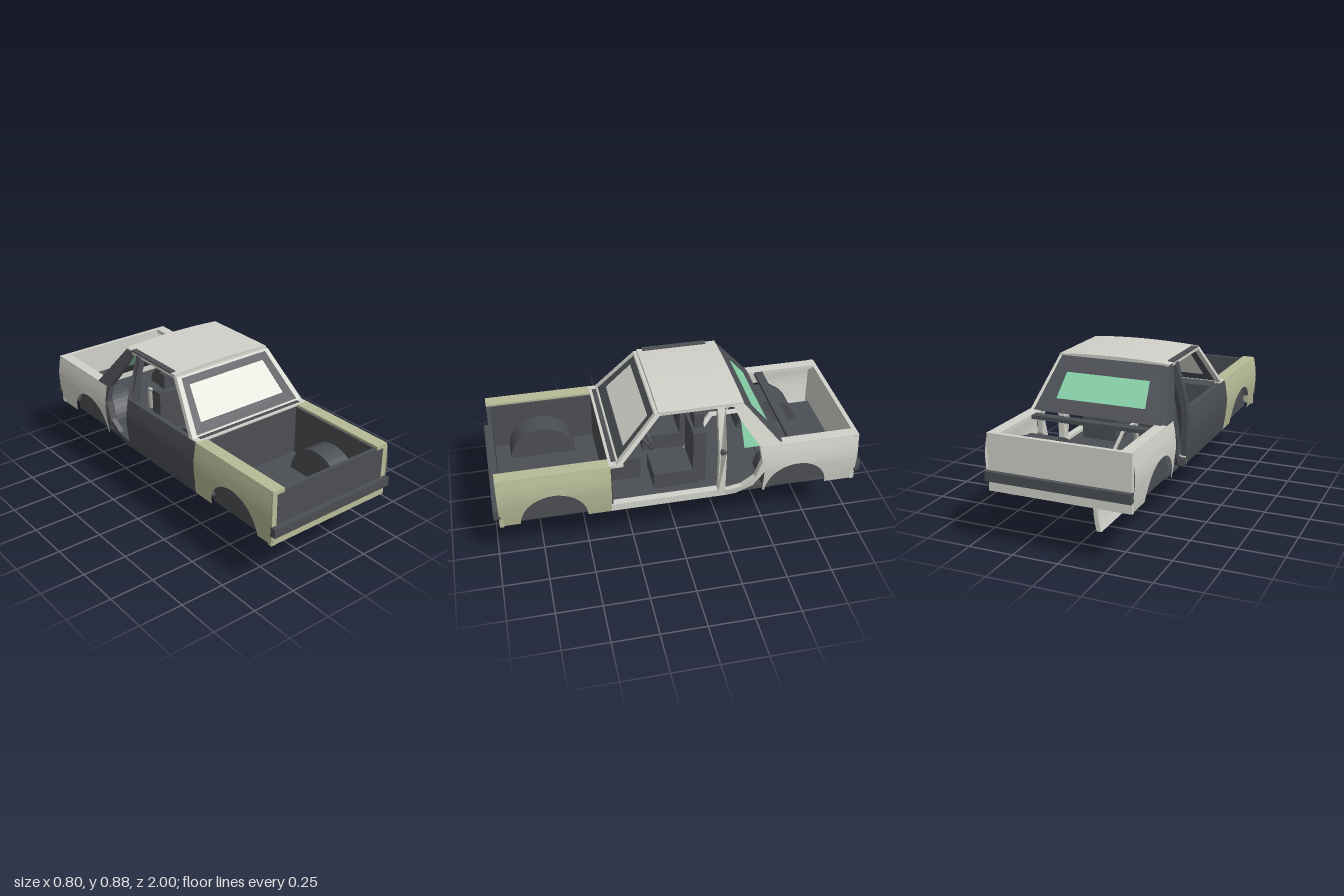
import * as THREE from 'three';

const paint = (name, color) => new THREE.MeshStandardMaterial({ name, color, side: THREE.DoubleSide });
const LIGHT = paint('light grey paint', 0xd2d2cb);
const OLIVE = paint('olive paint', 0xb7bb97);
const DARK = paint('dark grey trim', 0x4b4e53);
const GREEN = paint('green glass', 0x88d2aa);
const GLASS = paint('pale glass', 0xe0e0d8);

// Half width of the body at a given height
const PROFILE = [[0.31, 0.375], [0.37, 0.386], [0.48, 0.398], [0.55, 0.392], [0.61, 0.38], [0.86, 0.31]];
function halfWidth(y) {
  for (let i = 1; i < PROFILE.length; i++) {
    const [y0, x0] = PROFILE[i - 1], [y1, x1] = PROFILE[i];
    if (y <= y1) return x0 + (x1 - x0) * Math.max(0, (y - y0) / (y1 - y0));
  }
  return 0.31;
}

export function createModel() {
  const model = new THREE.Group();
  const add = (name, geo, mat) => {
    const m = new THREE.Mesh(geo, mat);
    m.name = name;
    model.add(m);
    return m;
  };
  // Box from its minimum and maximum corners
  const box = (name, mat, x0, x1, y0, y1, z0, z1) => {
    const g = new THREE.BoxGeometry(x1 - x0, y1 - y0, z1 - z0);
    g.translate((x0 + x1) / 2, (y0 + y1) / 2, (z0 + z1) / 2);
    return add(name, g, mat);
  };
  // Outline in (z, y), extruded across x
  const sideGeo = (pts, x0, x1) => {
    const shape = new THREE.Shape(pts.map(p => new THREE.Vector2(p[0], p[1])));
    const g = new THREE.ExtrudeGeometry(shape, { depth: x1 - x0, bevelEnabled: false });
    return g.rotateY(-Math.PI / 2).translate(x1, 0, 0);
  };
  // Side outline that follows the lean of the body
  const leaning = (name, mat, pts, s, thick = 0.03) => {
    const g = sideGeo(pts, -thick / 2, thick / 2);
    const p = g.attributes.position;
    for (let i = 0; i < p.count; i++) p.setX(i, p.getX(i) + s * (halfWidth(p.getY(i)) - thick / 2));
    g.computeVertexNormals();
    return add(name, g, mat);
  };
  // Grid sheet, f(i, j) gives a point
  const sheet = (name, mat, nu, nv, f) => {
    const pos = [], idx = [];
    for (let i = 0; i <= nu; i++) for (let j = 0; j <= nv; j++) pos.push(...f(i, j));
    for (let i = 0; i < nu; i++) for (let j = 0; j < nv; j++) {
      const a = i * (nv + 1) + j, b = a + nv + 1;
      idx.push(a, b, a + 1, b, b + 1, a + 1);
    }
    const g = new THREE.BufferGeometry();
    g.setAttribute('position', new THREE.Float32BufferAttribute(pos, 3));
    g.setIndex(idx);
    g.computeVertexNormals();
    return add(name, g, mat);
  };
  // Bulged outer panel with an optional wheel arch
  const bodySide = (name, mat, s, z0, z1, arch) => {
    const cols = [[z0, 0.31]];
    if (arch) for (let k = 0; k <= 20; k++) {
      const a = Math.PI * k / 20;
      cols.push([arch.z - arch.r * Math.cos(a), 0.31 + arch.r * Math.sin(a)]);
    }
    cols.push([z1, 0.31]);
    return sheet(name, mat, cols.length - 1, 8, (i, j) => {
      const y = cols[i][1] + (0.612 - cols[i][1]) * j / 8;
      return [s * halfWidth(y), y, cols[i][0]];
    });
  };
  // Sloping frame or pane: trapezoids given as [y0, halfX0, y1, halfX1]
  const slanted = (name, mat, outer, hole, zAt, depth) => {
    const quad = ([y0, a, y1, b]) => [[-a, y0], [a, y0], [b, y1], [-b, y1]].map(p => new THREE.Vector2(...p));
    const shape = new THREE.Shape(quad(outer));
    if (hole) shape.holes.push(new THREE.Path(quad(hole)));
    const g = new THREE.ExtrudeGeometry(shape, { depth, bevelEnabled: false });
    const p = g.attributes.position;
    for (let i = 0; i < p.count; i++) p.setZ(i, p.getZ(i) - depth / 2 + zAt(p.getY(i)));
    g.computeVertexNormals();
    return add(name, g, mat);
  };

  const frontArch = { z: 0.685, r: 0.178 }, rearArch = { z: -0.635, r: 0.172 };

  // Fenders, quarter panels and wheel housings
  for (const s of [1, -1]) {
    const tag = s > 0 ? 'left' : 'right';
    const span = (a, b) => s > 0 ? [a, b] : [-b, -a];
    bodySide(tag + 'FrontFender', OLIVE, s, 0.38, 0.972, frontArch);
    bodySide(tag + 'RearQuarter', LIGHT, s, -0.972, -0.45, rearArch);
    box(tag + 'FenderTop', OLIVE, ...span(0.31, 0.38), 0.59, 0.612, 0.38, 0.972);
    box(tag + 'FenderNose', OLIVE, ...span(0.355, 0.384), 0.31, 0.6, 0.95, 0.973);
    box(tag + 'QuarterTop', LIGHT, ...span(0.32, 0.38), 0.59, 0.612, -0.972, -0.54);
    box(tag + 'BayWall', DARK, ...span(0.3, 0.31), 0.315, 0.6, 0.385, 0.96);
    box(tag + 'Sill', LIGHT, ...span(0.335, 0.375), 0.31, 0.352, -0.25, 0.38);
    for (const [arch, end] of [[frontArch, 'Front'], [rearArch, 'Rear']]) {
      const pts = [];
      for (let k = 0; k <= 20; k++) {
        const a = Math.PI * k / 20;
        pts.push([arch.z + 0.184 * Math.cos(a), 0.315 + 0.184 * Math.sin(a)]);
      }
      add(tag + end + 'WheelHousing', sideGeo(pts, ...span(0.17, 0.355)), DARK);
    }
    // Rear pillar sweeping down around the rear door opening
    leaning(tag + 'RearPillar', s > 0 ? LIGHT : DARK, [
      [-0.28, 0.86], [-0.32, 0.77], [-0.42, 0.62], [-0.435, 0.52], [-0.4, 0.42], [-0.33, 0.365], [-0.24, 0.345],
      [-0.24, 0.31], [-0.3, 0.315], [-0.39, 0.36], [-0.45, 0.45], [-0.47, 0.61], [-0.54, 0.61], [-0.335, 0.86]], s);
    leaning(tag + 'CentrePillar', s > 0 ? LIGHT : DARK,
      [[-0.2, 0.33], [-0.2, 0.61], [-0.2, 0.855], [-0.24, 0.855], [-0.24, 0.61], [-0.24, 0.33]], s, 0.035);
    box(tag + 'DoorLatch', DARK, ...span(0.35, 0.378), 0.59, 0.612, -0.245, -0.21);
  }
  leaning('quarterGlass', GREEN, [[-0.32, 0.77], [-0.335, 0.62], [-0.42, 0.62]], 1, 0.008);

  // Floor, firewall and end panels
  box('frontFloor', DARK, -0.335, 0.335, 0.312, 0.325, 0.38, 0.96);
  box('cabinFloor', DARK, -0.36, 0.36, 0.312, 0.335, -0.5, 0.38);
  box('trunkFloor', DARK, -0.335, 0.335, 0.325, 0.345, -0.96, -0.5);
  box('firewall', DARK, -0.37, 0.37, 0.315, 0.605, 0.37, 0.385);
  box('frontPanel', DARK, -0.356, 0.356, 0.36, 0.6, 0.95, 0.971);
  box('frontValance', OLIVE, -0.375, 0.375, 0.312, 0.37, 0.955, 0.974);
  box('rearPanel', LIGHT, -0.382, 0.382, 0.312, 0.612, -0.974, -0.95);
  box('frontBumper', DARK, -0.388, 0.388, 0.37, 0.42, 0.965, 1);
  box('rearBumper', DARK, -0.388, 0.388, 0.37, 0.42, -1, -0.965);
  box('parcelShelf', DARK, -0.35, 0.345, 0.59, 0.61, -0.64, -0.592);
  box('exhaustTip', DARK, 0.243, 0.277, 0.302, 0.318, -0.96, -0.85);
  // Underbody members
  for (const x of [-0.15, 0.15]) box('floorRib', DARK, x - 0.01, x + 0.01, 0.306, 0.313, 0.5, 0.85);
  box('rearCrossMember', DARK, -0.3, 0.3, 0.312, 0.34, -0.56, -0.5);
  box('fuelTank', DARK, -0.1, 0.12, 0.312, 0.34, -0.92, -0.72);

  // Arched roof
  const roof = new THREE.Shape();
  roof.moveTo(-0.31, 0.846);
  roof.quadraticCurveTo(0, 0.874, 0.31, 0.846);
  roof.lineTo(0.31, 0.867);
  roof.quadraticCurveTo(0, 0.891, -0.31, 0.867);
  add('roof', new THREE.ExtrudeGeometry(roof, { depth: 0.45, bevelEnabled: false, curveSegments: 16 }).translate(0, 0, -0.338), LIGHT);
  box('roofEdgeTrim', DARK, -0.316, -0.282, 0.866, 0.873, -0.28, 0.08);

  // Windscreen and rear window
  const zFront = y => 0.335 - (y - 0.61) * 0.9;
  const zRear = y => -0.545 + (y - 0.61) * 0.83;
  slanted('windscreenPillars', LIGHT, [0.605, 0.377, 0.857, 0.31], [0.62, 0.342, 0.85, 0.284], zFront, 0.03);
  slanted('windscreenFrame', DARK, [0.618, 0.344, 0.853, 0.286], [0.66, 0.283, 0.815, 0.25], zFront, 0.016);
  slanted('windscreenGlass', GLASS, [0.66, 0.283, 0.815, 0.25], null, zFront, 0.008);
  slanted('rearWindowFrame', DARK, [0.61, 0.355, 0.86, 0.29], [0.67, 0.25, 0.79, 0.235], zRear, 0.018);
  slanted('rearGlass', GREEN, [0.67, 0.25, 0.79, 0.235], null, zRear, 0.008);
  box('cowl', LIGHT, -0.375, 0.375, 0.598, 0.614, 0.31, 0.385);

  // Fitted door on the right side
  bodySide('rightDoorSkin', DARK, -1, -0.235, 0.375);
  box('rightDoorLining', DARK, -0.376, -0.348, 0.352, 0.608, -0.22, 0.365);

  // Dashboard, steering wheel and seats
  box('dashboard', DARK, -0.34, 0.34, 0.49, 0.615, 0.215, 0.37);
  const wheel = new THREE.Group();
  wheel.name = 'steeringWheel';
  wheel.add(new THREE.Mesh(new THREE.TorusGeometry(0.085, 0.009, 8, 28), DARK));
  for (let k = 0; k < 3; k++) {
    const spoke = new THREE.Mesh(new THREE.BoxGeometry(0.015, 0.085, 0.008).translate(0, 0.042, 0), DARK);
    spoke.rotation.z = Math.PI / 3 + k * Math.PI * 2 / 3;
    wheel.add(spoke);
  }
  const column = new THREE.Mesh(new THREE.CylinderGeometry(0.014, 0.014, 0.12, 10).rotateX(Math.PI / 2).translate(0, 0, 0.06), DARK);
  wheel.add(column);
  wheel.position.set(0.17, 0.637, 0.165);
  wheel.rotation.x = 0.55;
  model.add(wheel);
  for (const x of [-0.17, 0.17]) {
    box('seatCushion', DARK, x - 0.1, x + 0.1, 0.335, 0.43, -0.12, 0.13);
    box('seatBack', DARK, x - 0.1, x + 0.1, 0.345, 0.67, -0.155, -0.085);
    box('headrest', DARK, x - 0.06, x + 0.06, 0.68, 0.765, -0.148, -0.098);
  }

  // Loose door skin with its window frame, hanging beneath the floor
  const skin = new THREE.Shape();
  skin.moveTo(-0.04, 0);
  skin.quadraticCurveTo(0.002, 0.15, -0.036, 0.275);
  skin.lineTo(-0.012, 0.275);
  skin.quadraticCurveTo(0.024, 0.15, -0.013, 0);
  add('looseDoor', new THREE.ExtrudeGeometry(skin, { depth: 0.585, bevelEnabled: false, curveSegments: 14 }).translate(0, 0, -0.587), LIGHT);
  const frame = sideGeo([[-0.045, 0.275], [-0.265, 0.522], [-0.44, 0.522], [-0.56, 0.275], [-0.53, 0.275],
    [-0.43, 0.505], [-0.28, 0.505], [-0.145, 0.345], [-0.145, 0.275]], -0.008, 0.008);
  const fp = frame.attributes.position;
  for (let i = 0; i < fp.count; i++) fp.setX(i, fp.getX(i) - 0.02 - (fp.getY(i) - 0.275) * 0.33);
  frame.computeVertexNormals();
  add('looseDoorFrame', frame, LIGHT);

  return model;
}
